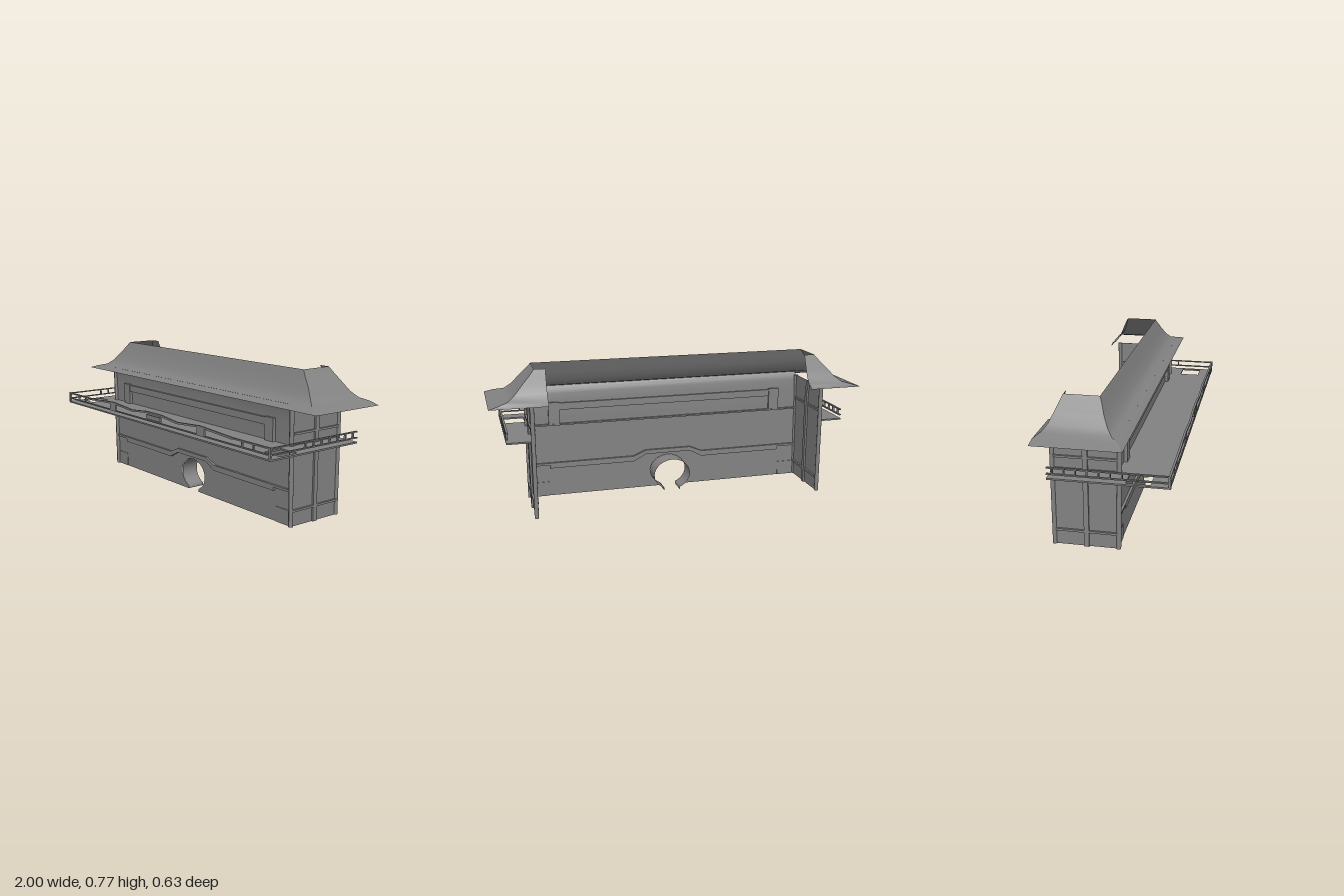
import * as THREE from 'three';

const material = new THREE.MeshStandardMaterial({ color: 0x828282, side: THREE.DoubleSide });

function add(parent, name, geometry) {
  const mesh = new THREE.Mesh(geometry, material);
  mesh.name = name;
  parent.add(mesh);
  return mesh;
}

// Box given by its extents on each axis
function box(parent, name, [x0, x1], [y0, y1], [z0, z1]) {
  const g = new THREE.BoxGeometry(Math.abs(x1 - x0), y1 - y0, Math.abs(z1 - z0));
  return add(parent, name, g.translate((x0 + x1) / 2, (y0 + y1) / 2, (z0 + z1) / 2));
}

const shapeOf = pts => new THREE.Shape(pts.map(([x, y]) => new THREE.Vector2(x, y)));
// Half outline continued by its mirror image in x
const mirrored = pts => [...pts, ...pts.slice().reverse().map(([x, y]) => [-x, y])];

// Thin plate cut from an outline, centred on depth z
function plate(parent, name, pts, z, depth) {
  const g = new THREE.ExtrudeGeometry(shapeOf(pts), { depth, bevelEnabled: false });
  return add(parent, name, g.translate(0, 0, z - depth / 2));
}

// The facade leans slightly forward towards the top
function lean(group) {
  for (const mesh of group.children) {
    const p = mesh.geometry.attributes.position;
    for (let i = 0; i < p.count; i++) p.setZ(i, p.getZ(i) + 0.016 * p.getY(i));
    mesh.geometry.computeVertexNormals();
  }
}

// Surface through a grid of points: rows of [x, y, z]
function surface(rows) {
  const n = rows[0].length, index = [];
  for (let r = 0; r < rows.length - 1; r++)
    for (let c = 0; c < n - 1; c++) {
      const a = r * n + c, b = a + n;
      index.push(a, a + 1, b, a + 1, b + 1, b);
    }
  const g = new THREE.BufferGeometry();
  g.setAttribute('position', new THREE.Float32BufferAttribute(rows.flat(2), 3));
  g.setIndex(index);
  g.computeVertexNormals();
  return g;
}

// Keyhole outline of the round doorway, from right foot over the top to left foot
function doorway() {
  const pts = [[0.045, 0]], start = -1.12;
  for (let i = 0; i <= 36; i++) {
    const a = start + (Math.PI - 2 * start) * i / 36;
    pts.push([0.103 * Math.cos(a), 0.095 + 0.087 * Math.sin(a)]);
  }
  pts.push([-0.045, 0]);
  return pts;
}

function buildFacade() {
  const facade = new THREE.Group();
  facade.name = 'facade';
  const z = 0.042, door = doorway();
  const outline = [[-0.785, 0], [-0.785, 0.45], [0.785, 0.45], [0.785, 0], ...door];
  add(facade, 'frontWall', new THREE.ShapeGeometry(shapeOf(outline)).translate(0, 0, z));

  // Moulding that steps up over the doorway
  const upper = [[0.78, 0.19], [0.2, 0.19], [0.13, 0.22]];
  const lower = [[-0.78, 0.178], [-0.67, 0.178], [-0.67, 0.16], [-0.2, 0.16], [-0.13, 0.197]];
  plate(facade, 'doorMoulding', [...mirrored(upper), ...mirrored(lower)], z, 0.026);

  // Long lintel and end blocks of the upper storey
  box(facade, 'upperLintel', [-0.61, 0.61], [0.487, 0.525], [z - 0.01, z + 0.014]);
  for (const s of [-1, 1]) {
    box(facade, 'upperBlock', [s * 0.61, s * 0.67], [0.41, 0.53], [z - 0.012, z + 0.018]);
    box(facade, 'cornerPlinth', [s * 0.68, s * 0.78], [0, 0.08], [z - 0.003, z + 0.003]);
    const post = new THREE.CylinderGeometry(0.012, 0.012, 0.6, 12);
    add(facade, 'frontPost', post.translate(s * 0.786, 0.3, 0.045));
  }
  lean(facade);

  // Upper wall, curving forward to meet the roof
  const curve = [[0.45, 0.0492], [0.53, 0.0515], [0.575, 0.055], [0.6, 0.061], [0.618, 0.074]];
  add(facade, 'upperWall', surface(curve.map(([y, d]) => [[-0.785, y, d], [0.785, y, d]])));

  // Lining of the doorway
  add(facade, 'doorLining', surface([z, -0.06].map(d => door.map(([x, y]) => [x, y, d]))));
  return facade;
}

function buildSideWall(s) {
  const wall = new THREE.Group();
  wall.name = 'sideWall';
  const x = [s * 0.783, s * 0.787], trim = [s * 0.773, s * 0.797];
  box(wall, 'sidePanel', x, [0, 0.6], [0.045, -0.275]);
  box(wall, 'sideUpright', trim, [0, 0.53], [-0.1, -0.125]);
  for (const y of [0.075, 0.463]) box(wall, 'sideRail', trim, [y, y + 0.011], [0.045, -0.27]);
  // Slanted brace at the head of the upright
  const brace = plate(wall, 'sideBrace', [[0.1, 0.53], [0.125, 0.53], [0.14, 0.597], [0.112, 0.597]], 0, 0.024);
  brace.geometry.rotateY(Math.PI / 2).translate(s * 0.785, 0, 0);
  const post = new THREE.CylinderGeometry(0.011, 0.011, 0.6, 12);
  add(wall, 'backPost', post.translate(s * 0.786, 0.3, -0.275));
  return wall;
}

function buildBalcony() {
  const balcony = new THREE.Group();
  balcony.name = 'balcony';
  // Floor wraps the front and both sides
  const floor = shapeOf(mirrored([[0.92, 0.313], [0.92, -0.265], [0.785, -0.265], [0.785, 0.034]]));
  for (const [x0, x1, z0, z1] of [[-0.905, -0.8, 0.105, 0.22], [0.79, 0.9, 0.125, 0.235]]) {
    floor.holes.push(new THREE.Path([[x0, z0], [x1, z0], [x1, z1], [x0, z1]].map(p => new THREE.Vector2(...p))));
  }
  const slab = new THREE.ExtrudeGeometry(floor, { depth: 0.008, bevelEnabled: false });
  add(balcony, 'balconyFloor', slab.rotateX(Math.PI / 2).translate(0, 0.41, 0));

  // Front rails with a gently waving handrail in the middle
  const front = [0.304, 0.315];
  box(balcony, 'frontMidRail', [-0.92, 0.92], [0.427, 0.433], front);
  const wave = mirrored([[-0.65, 0.465], [-0.4, 0.479], [-0.21, 0.465], [-0.07, 0.479]]);
  const underside = wave.map(([x, y]) => [x, y - 0.01]).reverse();
  plate(balcony, 'waveRail', [...wave, ...underside], 0.3095, 0.011);
  box(balcony, 'centreBlock', [-0.065, 0.065], [0.438, 0.462], front);

  for (const s of [-1, 1]) {
    const side = [s * 0.909, s * 0.92];
    box(balcony, 'frontTopRail', [s * 0.64, s * 0.92], [0.458, 0.465], front);
    box(balcony, 'frontBlock', [s * 0.38, s * 0.44], [0.43, 0.472], front);
    box(balcony, 'cornerPost', side, [0.402, 0.466], front);
    for (const x of [0.72, 0.8]) box(balcony, 'frontBaluster', [s * x, s * (x + 0.006)], [0.43, 0.462], front);
    for (const y of [0.427, 0.458]) box(balcony, 'sideHandrail', side, [y, y + 0.006], [0.313, -0.265]);
    for (let i = 0; i < 7; i++) {
      const z = 0.091 - i * 0.0545;
      box(balcony, 'sideBaluster', side, [0.43, 0.462], [z + 0.003, z - 0.003]);
    }
  }
  return balcony;
}

function buildRoof() {
  const roof = new THREE.Group();
  roof.name = 'roof';
  // Levels from eave to ridge: side x, height, front z, back z
  const levels = [
    [1.0, 0.598, 0.111, -0.316], [0.95, 0.614, 0.085, -0.312], [0.9, 0.627, 0.042, -0.287],
    [0.865, 0.655, 0.016, -0.264], [0.825, 0.7, -0.009, -0.244], [0.79, 0.737, -0.025, -0.229],
    [0.762, 0.77, -0.04, -0.215],
  ];
  add(roof, 'frontSlope', surface(levels.map(([x, y, f]) => [[-x, y, f], [x, y, f]])));
  for (const s of [-1, 1]) {
    const order = row => (s > 0 ? row : row.reverse());
    add(roof, 'sideSlope', surface(levels.map(([x, y, f, b]) => order([[s * x, y, f], [s * x, y, b]]))));
    // Short return of the roof around the back corner
    add(roof, 'backReturn', surface(levels.map(([x, y, , b]) => order([[s * x, y, b], [s * 0.705, y, b]]))));
  }
  return roof;
}

export function createModel() {
  const model = new THREE.Group();
  model.name = 'gatehouse';
  model.add(buildFacade(), buildSideWall(1), buildSideWall(-1), buildBalcony(), buildRoof());
  return model;
}
